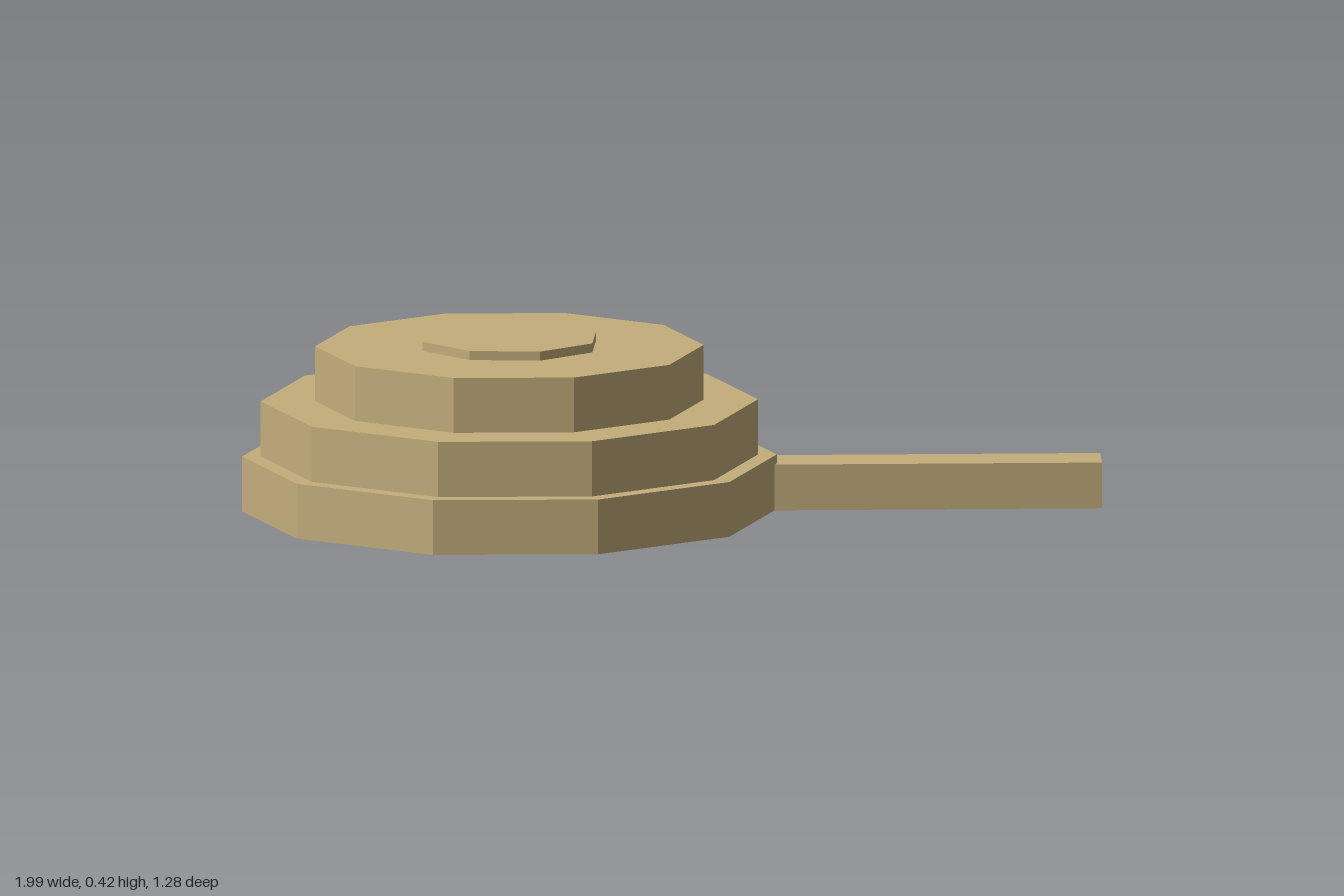
import * as THREE from 'three';

export function createModel() {
  const model = new THREE.Group();
  model.name = 'steppedMound';
  const sand = new THREE.MeshStandardMaterial({ color: 0xc4ad7c, flatShading: true });
  sand.name = 'sand';

  const add = (name, geometry, x, y, z) => {
    const mesh = new THREE.Mesh(geometry, sand);
    mesh.name = name;
    mesh.position.set(x, y, z);
    model.add(mesh);
    return mesh;
  };

  // Stacked tiers: name, radius, bottom, top, sides
  const tiers = [
    ['lowerTier', 0.64, 0, 0.133, 10],
    ['middleTier', 0.595, 0.133, 0.267, 10],
    ['upperTier', 0.465, 0.267, 0.4, 10],
    ['topCap', 0.22, 0.4, 0.422, 8],
  ];
  for (const [name, radius, bottom, top, sides] of tiers) {
    add(name, new THREE.CylinderGeometry(radius, radius, top - bottom, sides), -0.39, (bottom + top) / 2, 0);
  }

  // Long bar reaching out from the lower tier, its inner end tucked inside
  const angle = 0.3, length = 0.82;
  const bar = add('bar', new THREE.BoxGeometry(length, 0.111, 0.131),
    0.976 - Math.cos(angle) * length / 2, 0.0555, 0.382 - Math.sin(angle) * length / 2);
  bar.rotation.y = -angle;

  return model;
}
